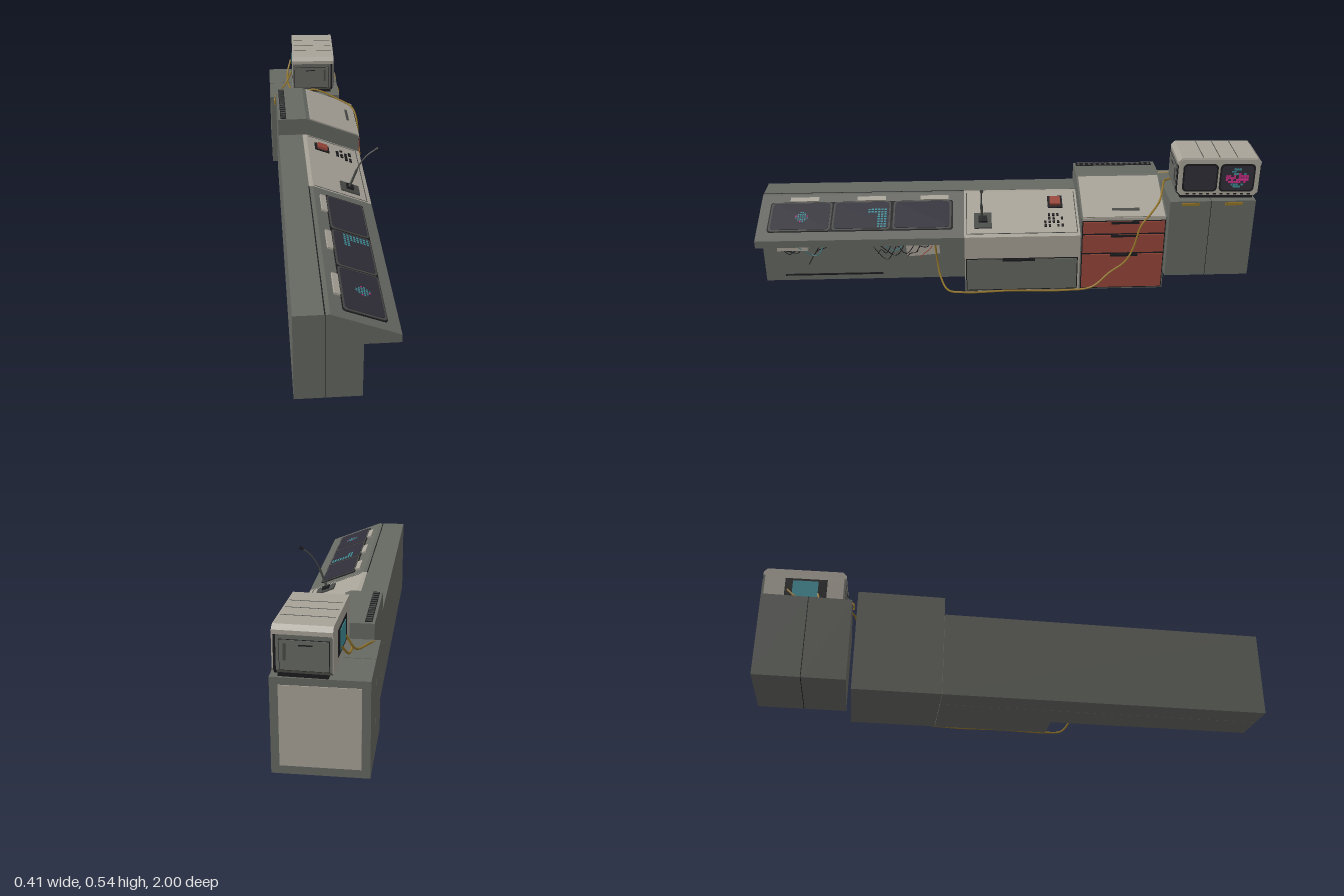
import * as THREE from 'three';

const mat = (name, color) => Object.assign(new THREE.MeshStandardMaterial({ color }), { name });
const gray = mat('grey metal', 0x666862), tan = mat('light panel', 0xa8a398), red = mat('drawer red', 0x98463a);
const black = mat('black', 0x1c1c1f), graphite = mat('graphite', 0x484a47), glass = mat('dark glass', 0x302e38);
const yellow = mat('cable yellow', 0x94752a), cyan = mat('display cyan', 0x3f8d97), pink = mat('display pink', 0xc02c80);

const SLOPE = 0.4, ANGLE = Math.atan(SLOPE), KNEE = -0.06; // inclined work surface

export function createModel() {
  const root = new THREE.Group();
  root.name = 'controlConsole';
  let seed = 7;
  const rnd = () => (seed = (seed * 16807) % 2147483647) / 2147483647;

  const add = (name, geo, m, parent = root) => {
    const mesh = new THREE.Mesh(geo, m);
    mesh.name = name;
    parent.add(mesh);
    return mesh;
  };
  // box from min/max ranges
  const box = (name, m, x0, x1, y0, y1, z0, z1, parent = root) => {
    const b = add(name, new THREE.BoxGeometry(x1 - x0, y1 - y0, z1 - z0), m, parent);
    b.position.set((x0 + x1) / 2, (y0 + y1) / 2, (z0 + z1) / 2);
    return b;
  };
  // profile in x, y extruded from z0 to z1
  const prism = (name, m, pts, z0, z1) => {
    const shape = new THREE.Shape(pts.map(p => new THREE.Vector2(...p)));
    const g = new THREE.ExtrudeGeometry(shape, { depth: z1 - z0, bevelEnabled: false });
    return add(name, g.translate(0, 0, z0), m);
  };
  const roundRect = (w, h, r) => {
    const s = new THREE.Shape(), a = w / 2, b = h / 2, q = Math.PI / 2;
    s.absarc(a - r, b - r, r, 0, q);
    s.absarc(-a + r, b - r, r, q, 2 * q);
    s.absarc(-a + r, -b + r, r, 2 * q, 3 * q);
    s.absarc(a - r, -b + r, r, 3 * q, 4 * q);
    return s;
  };
  const plate = (w, h, r, t) => new THREE.ExtrudeGeometry(roundRect(w, h, r), { depth: t, bevelEnabled: false, curveSegments: 4 });
  // lay a part on the incline; w runs down the slope, d along z
  const onSlope = (name, m, x, z, w, d, t, lift = 0, top = 0.337, r = 0) => {
    const g = r ? plate(w, d, r, t).rotateX(-Math.PI / 2) : new THREE.BoxGeometry(w, t, d).translate(0, t / 2, 0);
    const p = add(name, g, m);
    p.rotation.z = -ANGLE;
    p.position.set(x + lift * Math.sin(ANGLE), top - (x - KNEE) * SLOPE + lift * Math.cos(ANGLE), z);
    return p;
  };
  const tube = (name, m, pts, r, seg = 40, sides = 6) => add(name, new THREE.TubeGeometry(
    new THREE.CatmullRomCurve3(pts.map(p => new THREE.Vector3(...p))), seg, r, sides), m);

  // --- long desk ---
  box('deskBack', gray, -0.18, -0.077, 0, 0.337, -0.28, 1);
  box('deskBackSeam', black, -0.079, -0.075, 0.002, 0.3375, 0.18, 0.9995);
  prism('screenDesk', gray, [[-0.076, 0], [0.048, 0], [0.048, 0.215], [0.17, 0.215], [0.17, 0.245], [KNEE, 0.337], [-0.076, 0.337]], 0.18, 1);
  box('kneeSlot', black, 0.048, 0.051, 0.203, 0.212, 0.2, 0.98);
  box('kneeHandle', black, 0.048, 0.053, 0.023, 0.029, 0.52, 0.92);

  // three inclined displays
  onSlope('displayFrame', black, 0.055, 0.592, 0.158, 0.735, 0.003, 0, 0.337, 0.012);
  [[0.348, 0.225], [0.59, 0.222], [0.833, 0.235]].forEach(([z, d], i) => {
    onSlope('displayBezel', graphite, 0.055, z, 0.152, d + 0.008, 0.004, 0.001, 0.337, 0.014);
    onSlope('displayGlass', glass, 0.055, z, 0.14, d - 0.006, 0.003, 0.004, 0.337, 0.014);
    onSlope('noteTab', tan, -0.03, [0.3, 0.555, 0.825][i], 0.022, 0.115, 0.008);
  });
  for (let r = 0; r < 6; r++) for (let c = 0; c < 8; c++) {
    if (r < 3 || c > 5) onSlope('plotCell', cyan, 0.112 - c * 0.012, 0.495 + r * 0.013, 0.008, 0.009, 0.001, 0.007);
    const a = r - 2.5, b = c - 3.5;
    if (a * a + b * b < 7) onSlope('plotCell', rnd() < 0.2 ? pink : cyan, 0.06 + b * 0.009, 0.828 + a * 0.009, 0.006, 0.006, 0.001, 0.007);
  }

  // --- radio desk section ---
  prism('radioDesk', tan, [[-0.076, 0.004], [0.17, 0.004], [0.17, 0.245], [KNEE, 0.337], [-0.076, 0.337]], -0.28, 0.18);
  box('radioDeskBase', gray, -0.076, 0.17, 0, 0.004, -0.28, 0.18);
  box('radioDrawerGap', black, 0.17, 0.171, 0.005, 0.15, -0.272, 0.176);
  box('radioDrawer', gray, 0.17, 0.174, 0.01, 0.146, -0.268, 0.172);
  box('radioDrawerPull', black, 0.17, 0.176, 0.138, 0.147, -0.1, 0.03);
  [-0.27, 0.17].forEach(z => onSlope('radioPanelSeam', graphite, 0.05, z, 0.225, 0.003, 0.001));
  onSlope('radioPanelSeam', graphite, 0.153, -0.05, 0.003, 0.44, 0.001);
  onSlope('switchFrame', black, 0, -0.19, 0.064, 0.06, 0.004);
  onSlope('redSwitch', red, 0, -0.19, 0.042, 0.042, 0.014);
  for (let r = 0; r < 4; r++) for (let c = 0; c < 5; c++) if (rnd() < 0.75)
    onSlope('button', black, 0.065 + r * 0.018, -0.145 + c * -0.017, 0.011, 0.009, 0.005);

  // microphone
  onSlope('microphoneBase', graphite, 0.09, 0.105, 0.08, 0.07, 0.006);
  onSlope('microphoneSocket', black, 0.088, 0.105, 0.03, 0.035, 0.014);
  tube('microphoneStem', graphite, [[0.086, 0.283, 0.11], [0.102, 0.325, 0.11], [0.118, 0.368, 0.11]], 0.005, 6);
  tube('microphoneNeck', graphite, [[0.117, 0.366, 0.11], [0.135, 0.4, 0.11], [0.16, 0.43, 0.11], [0.187, 0.45, 0.11]], 0.0028, 14);
  const head = add('microphoneHead', new THREE.CylinderGeometry(0.007, 0.005, 0.018, 10), black);
  head.position.set(0.193, 0.453, 0.11);
  head.rotation.z = -1.05;

  // --- tall drawer unit ---
  prism('drawerUnit', gray, [[-0.18, 0], [0.168, 0], [0.168, 0.319], [KNEE, 0.41], [-0.18, 0.41]], -0.62, -0.281);
  box('ventSlot', black, -0.17, -0.145, 0.41, 0.412, -0.605, -0.29);
  for (let i = 0; i < 14; i++) box('ventFin', graphite, -0.168, -0.147, 0.411, 0.414, -0.598 + i * 0.0225, -0.59 + i * 0.0225);
  onSlope('slopedLid', tan, 0.061, -0.45, 0.225, 0.325, 0.005, 0, 0.41);
  onSlope('lidHandle', graphite, 0.13, -0.46, 0.012, 0.11, 0.003, 0.004, 0.41);
  box('lidLip', tan, 0.166, 0.17, 0.309, 0.321, -0.615, -0.286);
  box('drawerGap', black, 0.168, 0.169, 0.004, 0.308, -0.616, -0.285);
  [[0.01, 0.16], [0.168, 0.246], [0.254, 0.304]].forEach(([a, b]) => {
    box('drawerFront', red, 0.168, 0.173, a, b, -0.612, -0.289);
    box('drawerPull', black, 0.168, 0.175, b - 0.009, b, -0.51, -0.4);
  });

  // --- end cabinet ---
  box('cabinetCore', black, -0.2, 0.112, 0.027, 0.357, -0.978, -0.642);
  [[-0.983, -0.807], [-0.804, -0.64]].forEach(([a, b]) => {
    box('cabinetHalf', gray, -0.203, 0.115, 0.025, 0.36, a, b);
    box('cabinetTab', yellow, 0.114, 0.119, 0.342, 0.354, (a + b) / 2 - 0.035, (a + b) / 2 + 0.035);
  });
  box('cabinetEndPanel', tan, -0.175, 0.087, 0.055, 0.335, -0.986, -0.98);

  // --- twin monitor, turned slightly ---
  const mon = new THREE.Group();
  mon.name = 'twinMonitor';
  mon.position.set(0.003, 0.36, -0.832);
  mon.rotation.y = -0.04;
  root.add(mon);
  const monPrism = (name, m, pts, x0, x1) => {
    const g = new THREE.ExtrudeGeometry(new THREE.Shape(pts.map(p => new THREE.Vector2(...p))), { depth: x1 - x0, bevelEnabled: false });
    return add(name, g.rotateY(Math.PI / 2).translate(x0, 0, 0), m, mon);
  };
  const monPlate = (name, m, x, y, z, w, h, r, t) =>
    add(name, plate(w, h, r, t).rotateY(Math.PI / 2), m, mon).position.set(x, y, z);
  box('monitorFeet', black, -0.08, 0.08, 0, 0.018, -0.145, 0.145, mon);
  monPrism('monitorBody', gray, [[-0.15, 0.016], [0.15, 0.016], [0.163, 0.03], [0.163, 0.146], [-0.163, 0.146], [-0.163, 0.03]], -0.094, 0.082);
  monPrism('monitorCap', tan, [[-0.163, 0.146], [0.163, 0.146], [0.163, 0.16], [0.148, 0.175], [-0.148, 0.175], [-0.163, 0.16]], -0.098, 0.092);
  monPrism('monitorRim', black, [[-0.15, 0.014], [0.15, 0.014], [0.164, 0.03], [0.164, 0.146], [-0.164, 0.146], [-0.164, 0.03]], 0.08, 0.088);
  monPrism('monitorBezel', tan, [[-0.146, 0.018], [0.146, 0.018], [0.16, 0.032], [0.16, 0.156], [0.146, 0.17], [-0.146, 0.17], [-0.16, 0.156], [-0.16, 0.032]], 0.086, 0.094);
  [-0.07, 0, 0.065].forEach(z => box('capSeam', graphite, -0.09, 0.085, 0.1745, 0.1757, z - 0.0015, z + 0.0015, mon));
  [-0.073, 0.073].forEach(z => {
    monPlate('monitorScreenFrame', black, 0.094, 0.093, z, 0.138, 0.118, 0.018, 0.002);
    monPlate('monitorScreen', glass, 0.095, 0.093, z, 0.124, 0.104, 0.016, 0.003);
  });
  for (let i = 0; i < 10; i++) box('monitorButton', black, 0.093, 0.097, 0.022, 0.028, -0.13 + i * 0.027, -0.118 + i * 0.027, mon);
  // graph on the far screen
  for (let r = -4; r <= 4; r++) for (let c = -4; c <= 4; c++) if (r * r + c * c < 18 && rnd() < 0.8)
    box('graphCell', r > 1 ? (rnd() < 0.5 ? cyan : pink) : r < -2 ? cyan : pink, 0.0975, 0.099, 0.09 + r * 0.009, 0.098 + r * 0.009, -0.077 + c * 0.01, -0.068 + c * 0.01, mon);
  // inset end panels with a handle
  [1, -1].forEach(s => {
    const zr = (a, b) => (s > 0 ? [a, b] : [-b, -a]);
    box('endPanelSeam', black, -0.088, 0.07, 0.03, 0.132, ...zr(0.162, 0.164), mon);
    box('endPanel', gray, -0.086, 0.068, 0.032, 0.13, ...zr(0.162, 0.166), mon);
    box('endVent', black, -0.035, 0.008, 0.113, 0.117, ...zr(0.165, 0.168), mon);
    box('endHandle', graphite, 0.048, 0.056, 0.065, 0.12, ...zr(0.165, 0.17), mon);
  });
  // rear connector panel
  box('rearPanel', tan, -0.098, -0.093, 0.024, 0.146, -0.155, 0.155, mon);
  box('rearRecess', black, -0.1, -0.097, 0.045, 0.135, -0.075, 0.09, mon);
  box('rearScreen', cyan, -0.102, -0.099, 0.055, 0.125, -0.045, 0.055, mon);

  // --- yellow cable from the monitor along the floor to the knee space ---
  tube('yellowCable', yellow, [[-0.1, 0.44, -0.9], [-0.117, 0.395, -0.85], [-0.112, 0.372, -0.72], [-0.08, 0.37, -0.66],
    [0, 0.395, -0.632], [0.1, 0.36, -0.6], [0.165, 0.334, -0.555], [0.184, 0.29, -0.515], [0.19, 0.2, -0.49], [0.194, 0.14, -0.46],
    [0.18, 0.08, -0.4], [0.187, 0.02, -0.33], [0.185, 0.006, -0.22], [0.18, 0.006, 0], [0.187, 0.006, 0.18], [0.172, 0.01, 0.25],
    [0.13, 0.05, 0.28], [0.11, 0.1, 0.29], [0.115, 0.212, 0.3]], 0.004, 150);
  tube('cabinetCable', yellow, [[-0.1, 0.43, -0.78], [-0.13, 0.375, -0.76], [-0.17, 0.364, -0.68], [-0.186, 0.35, -0.634], [-0.184, 0.325, -0.631]], 0.004);

  // --- loose hatch, junction box and wiring under the desk ---
  box('junctionBox', tan, 0.062, 0.15, 0.19, 0.215, 0.8, 0.92);
  box('junctionBoxOpening', black, 0.07, 0.142, 0.188, 0.191, 0.81, 0.91);
  const hatch = box('looseHatch', tan, 0.055, 0.06, 0.112, 0.208, 0.285, 0.42);
  hatch.rotation.x = 0.08;
  for (let i = 0; i < 16; i++) {
    const z = i < 8 ? 0.74 + rnd() * 0.14 : 0.3 + rnd() * 0.2, x = 0.075 + rnd() * 0.07, drop = 0.11 + rnd() * 0.07;
    const m = i % 8 === 3 ? cyan : i === 14 ? red : black;
    const end = i % 2 ? [x + 0.02, 0.213, z + 0.07] : [0.1 + rnd() * 0.03, drop - 0.015, z + 0.03];
    tube('wire', m, [[x, 0.213, z - 0.03], [x + 0.01, 0.175, z - 0.01], [0.095 + rnd() * 0.03, drop, z + 0.02], end], 0.0017, 12, 4);
  }
  return root;
}
